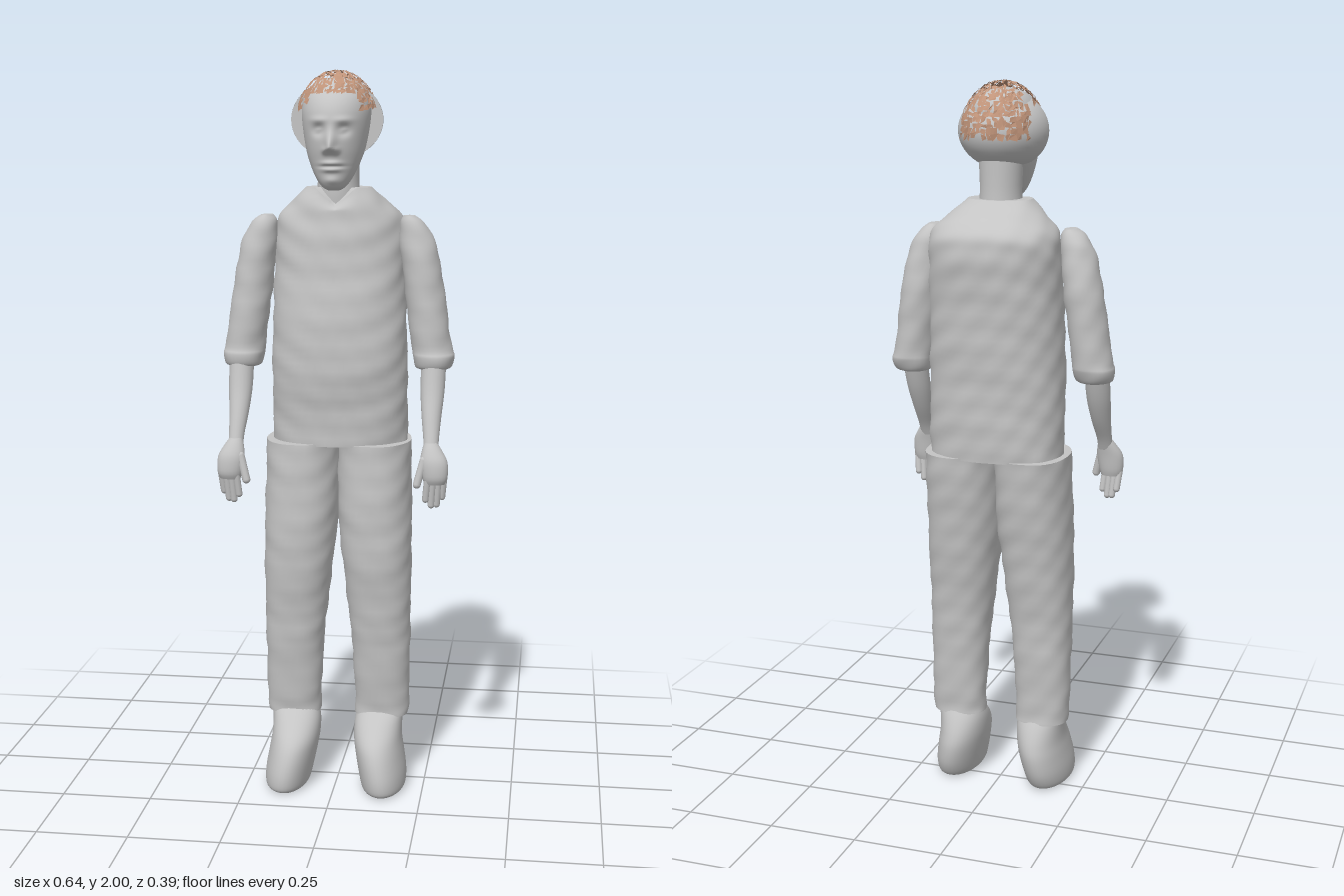
import * as THREE from 'three';

const clay = new THREE.MeshStandardMaterial({ color: 0xc4c4c4, side: THREE.DoubleSide });
clay.name = 'clay grey';
const brown = new THREE.MeshStandardMaterial({ color: 0xc0947a, side: THREE.DoubleSide, flatShading: true });
brown.name = 'hair brown';

let seed = 7;
const rand = () => (seed = (seed * 16807) % 2147483647) / 2147483647;
const bump = (d, w) => Math.exp(-(d * d) / (w * w));

function add(parent, name, geometry, material = clay) {
  const mesh = new THREE.Mesh(geometry, material);
  mesh.name = name;
  parent.add(mesh);
  return mesh;
}

// Smooth value of one column through the sections
function spline(rows, t, k) {
  const f = t * (rows.length - 1), i = Math.min(Math.floor(f), rows.length - 2), u = f - i;
  const at = (j) => rows[Math.max(0, Math.min(rows.length - 1, j))][k];
  const b = at(i), c = at(i + 1), m0 = (c - at(i - 1)) / 2, m1 = (at(i + 2) - b) / 2;
  return b + u * (m0 + u * (3 * (c - b) - 2 * m0 - m1 + u * (2 * (b - c) + m0 + m1)));
}

// Closed loft through rows of [y, xMin, xMax, zBack, zFront], listed upwards
function loft(rows, { rings = 32, sides = 36, power = 2, shape } = {}) {
  const pos = [], idx = [];
  const p = new THREE.Vector3();
  const ring = (t) => {
    const [y, x0, x1, z0, z1] = [0, 1, 2, 3, 4].map((k) => spline(rows, t, k));
    for (let j = 0; j < sides; j++) {
      const a = (j / sides) * Math.PI * 2, c = Math.cos(a), s = Math.sin(a);
      p.set((x0 + x1) / 2 + ((x1 - x0) / 2) * Math.sign(c) * Math.abs(c) ** (2 / power), y,
        (z0 + z1) / 2 + ((z1 - z0) / 2) * Math.sign(s) * Math.abs(s) ** (2 / power));
      if (shape) shape(p, c, s);
      pos.push(p.x, p.y, p.z);
    }
  };
  for (let i = 0; i <= rings; i++) ring(i / rings);
  for (let i = 0; i < rings; i++) {
    for (let j = 0; j < sides; j++) {
      const a = i * sides + j, b = i * sides + ((j + 1) % sides);
      idx.push(a, a + sides, b, b, a + sides, b + sides);
    }
  }
  // Flat end caps with their own vertices
  for (const end of [0, 1]) {
    const start = pos.length / 3, r = rows[end * (rows.length - 1)];
    ring(end);
    pos.push((r[1] + r[2]) / 2, pos[start * 3 + 1], (r[3] + r[4]) / 2);
    for (let j = 0; j < sides; j++) {
      const a = start + j, b = start + ((j + 1) % sides);
      idx.push(start + sides, ...(end ? [b, a] : [a, b]));
    }
  }
  const g = new THREE.BufferGeometry();
  g.setAttribute('position', new THREE.Float32BufferAttribute(pos, 3));
  g.setIndex(idx);
  g.computeVertexNormals();
  return g;
}

// Gentle cloth wrinkles pushed along the outward direction
const cloth = (amount) => (p, c, s) => {
  const w = amount * (Math.sin(p.y * 47 + p.x * 31) * Math.sin(p.x * 42 - p.z * 37 + p.y * 13) + 0.5 * Math.sin(p.y * 90 + p.z * 60));
  p.x += c * w;
  p.z += s * w;
};

function capsule(a, b, r) {
  const from = new THREE.Vector3(...a), to = new THREE.Vector3(...b), dir = to.clone().sub(from);
  const g = new THREE.CapsuleGeometry(r, dir.length(), 4, 10);
  g.applyQuaternion(new THREE.Quaternion().setFromUnitVectors(new THREE.Vector3(0, 1, 0), dir.normalize()));
  const m = from.add(to).multiplyScalar(0.5);
  return g.translate(m.x, m.y, m.z);
}

// Hair of loose flat shards over a dome
function hairShards() {
  const pos = [], nu = 44, nv = 16;
  const dome = (u, v) => {
    const a = (u / nu) * Math.PI * 2, t = (v / nv) * 1.75, r = 0.985 + rand() * 0.03;
    return [Math.cos(a) * Math.sin(t) * 0.112 * r, 1.86 + Math.cos(t) * 0.138 * r, 0.018 + Math.sin(a) * Math.sin(t) * 0.138 * r];
  };
  for (let u = 0; u < nu; u++) {
    for (let v = 0; v < nv; v++) {
      const j = () => (rand() - 0.5) * 0.8;
      const [x, y, z] = dome(u + 0.5, v + 0.5);
      const front = z > 0.03 && y > (Math.abs(x) < 0.065 ? 1.94 : 1.89);
      const back = z < -0.035 && y > 1.85;
      const middle = y > 1.9 && rand() < (x > 0.02 ? 0.6 : 0.35) && z <= 0.03;
      if (!(front || back || middle) || rand() < 0.06) continue;
      const [a, b, c, d] = [[0, 0], [1, 0], [1, 1], [0, 1]].map(([du, dv]) => dome(u + du + j(), Math.max(0, v + dv + j())));
      pos.push(...a, ...b, ...c, ...a, ...c, ...d);
    }
  }
  const g = new THREE.BufferGeometry();
  g.setAttribute('position', new THREE.Float32BufferAttribute(pos, 3));
  g.computeVertexNormals();
  return g;
}

// Nose, brow, eyes, lips and chin pressed into the front of the head
function face(p, c, s) {
  if (s < 0.2) return;
  const x = Math.abs(p.x), y = p.y;
  p.z += 0.036 * bump(x, 0.013) * (y < 1.797 ? bump(y - 1.797, 0.011) : bump(y - 1.797, 0.034));
  p.z += 0.010 * bump(x - 0.015, 0.008) * bump(y - 1.79, 0.009);
  p.z -= 0.013 * bump(x - 0.033, 0.017) * bump(y - 1.842, 0.014);
  p.z += 0.007 * bump(x - 0.033, 0.010) * bump(y - 1.842, 0.006);
  p.z += 0.005 * bump(x - 0.033, 0.025) * bump(y - 1.868, 0.009);
  p.z += 0.008 * bump(x, 0.024) * (bump(y - 1.757, 0.006) + bump(y - 1.74, 0.006));
  p.z -= 0.005 * bump(x, 0.03) * bump(y - 1.7485, 0.003);
  p.z += 0.006 * bump(x, 0.022) * bump(y - 1.712, 0.011);
}

export function createModel() {
  const model = new THREE.Group();
  model.name = 'standing man';

  // Shirt, with the neckline dipping at the front
  add(model, 'shirt', loft([
    [0.99, -0.183, 0.19, -0.15, 0.105], [1.1, -0.185, 0.19, -0.155, 0.115],
    [1.22, -0.185, 0.188, -0.162, 0.128], [1.35, -0.183, 0.184, -0.172, 0.122],
    [1.47, -0.18, 0.18, -0.182, 0.108], [1.56, -0.178, 0.178, -0.192, 0.098],
    [1.61, -0.168, 0.168, -0.183, 0.09], [1.65, -0.13, 0.13, -0.14, 0.085],
    [1.69, -0.088, 0.088, -0.07, 0.075],
  ], {
    rings: 56, sides: 56, power: 2.3,
    shape: (p, c, s) => {
      cloth(0.0022)(p, c, s);
      if (s > 0 && p.y > 1.63) p.y -= 0.05 * Math.max(0, 1 - Math.abs(p.x) / 0.055) * Math.min(1, (p.y - 1.63) / 0.06);
    },
  }));

  // Neck and head
  add(model, 'neck', loft([
    [1.6, -0.06, 0.06, -0.06, 0.06], [1.67, -0.058, 0.058, -0.062, 0.066],
    [1.72, -0.056, 0.056, -0.06, 0.065], [1.8, -0.06, 0.06, -0.06, 0.07],
  ], { rings: 10 }));
  add(model, 'head', loft([
    [1.685, -0.016, 0.016, 0.075, 0.118], [1.695, -0.032, 0.032, 0.055, 0.135],
    [1.72, -0.05, 0.05, 0.03, 0.144], [1.76, -0.068, 0.068, -0.01, 0.153],
    [1.8, -0.08, 0.08, -0.05, 0.162], [1.86, -0.09, 0.09, -0.078, 0.166],
    [1.9, -0.092, 0.092, -0.088, 0.158], [1.935, -0.085, 0.085, -0.085, 0.134],
    [1.965, -0.06, 0.06, -0.06, 0.095], [1.98, -0.015, 0.015, -0.01, 0.04],
  ], { rings: 110, sides: 96, shape: face }));

  // Back of the skull, cut flat behind the ears
  const skull = new THREE.SphereGeometry(1, 32, 24, Math.PI, Math.PI);
  add(model, 'skullBack', skull.scale(0.124, 0.104, 0.138).translate(0, 1.868, 0.035));
  add(model, 'skullFront', new THREE.CircleGeometry(1, 40).scale(0.124, 0.104, 1).translate(0, 1.868, 0.035));
  add(model, 'hair', hairShards(), brown);

  // Limbs are written for the left side and mirrored for the right
  for (const side of [1, -1]) {
    const label = side > 0 ? 'left' : 'right';
    const flip = (rows) => rows.map(([y, a, b, c, d]) => (side > 0 ? [y, a, b, c, d] : [y, -b, -a, c, d]));
    const part = (name, rows, options) => add(model, label + name, loft(flip(rows), options));

    part('Trouser', [
      [0.2, 0.05, 0.2, -0.055, 0.062], [0.24, 0.05, 0.203, -0.056, 0.066],
      [0.4, 0.042, 0.205, -0.068, 0.086], [0.52, 0.03, 0.206, -0.078, 0.1],
      [0.66, 0.014, 0.207, -0.1, 0.118], [0.78, 0.002, 0.206, -0.12, 0.122],
      [0.9, 0, 0.203, -0.138, 0.12], [0.995, 0, 0.202, -0.15, 0.115],
    ], { rings: 44, power: 2.3, shape: cloth(0.0018) });

    part('Shoe', [
      [0, 0.085, 0.19, -0.045, 0.165], [0.012, 0.075, 0.2, -0.065, 0.18],
      [0.05, 0.066, 0.2, -0.084, 0.182], [0.1, 0.056, 0.192, -0.092, 0.17],
      [0.14, 0.05, 0.186, -0.086, 0.148], [0.18, 0.05, 0.186, -0.07, 0.105],
      [0.215, 0.058, 0.19, -0.05, 0.062],
    ], { rings: 28 });

    part('Sleeve', [
      [1.2, 0.225, 0.3, -0.02, 0.062], [1.207, 0.212, 0.314, -0.036, 0.074],
      [1.235, 0.205, 0.321, -0.048, 0.078], [1.26, 0.203, 0.314, -0.05, 0.072],
      [1.36, 0.19, 0.298, -0.055, 0.072], [1.46, 0.178, 0.284, -0.055, 0.068],
      [1.55, 0.168, 0.262, -0.042, 0.06], [1.595, 0.168, 0.236, -0.028, 0.05],
      [1.615, 0.18, 0.21, -0.012, 0.04],
    ], { rings: 36, sides: 28, shape: cloth(0.002) });

    part('Forearm', [
      [0.985, 0.246, 0.288, 0.112, 0.15], [1.02, 0.246, 0.288, 0.094, 0.138],
      [1.08, 0.238, 0.292, 0.055, 0.116], [1.15, 0.232, 0.298, 0.02, 0.09],
      [1.24, 0.232, 0.3, -0.01, 0.066],
    ], { rings: 16, sides: 20 });

    part('Palm', [
      [0.905, 0.252, 0.308, 0.128, 0.164], [0.925, 0.246, 0.315, 0.122, 0.172],
      [0.965, 0.24, 0.314, 0.116, 0.17], [0.995, 0.244, 0.298, 0.11, 0.156],
      [1.015, 0.25, 0.284, 0.108, 0.142],
    ], { rings: 14, sides: 20 });

    // Fingers and thumb
    const tips = [0.862, 0.846, 0.848, 0.868];
    tips.forEach((tip, i) => {
      const x = side * (0.262 + i * 0.0145);
      add(model, label + 'Finger', capsule([x, 0.925, 0.155 - i * 0.003], [x - side * 0.006, tip, 0.147 - i * 0.004], 0.0095));
    });
    add(model, label + 'Thumb', capsule([side * 0.25, 0.97, 0.15], [side * 0.233, 0.905, 0.16], 0.011));
  }
  return model;
}
